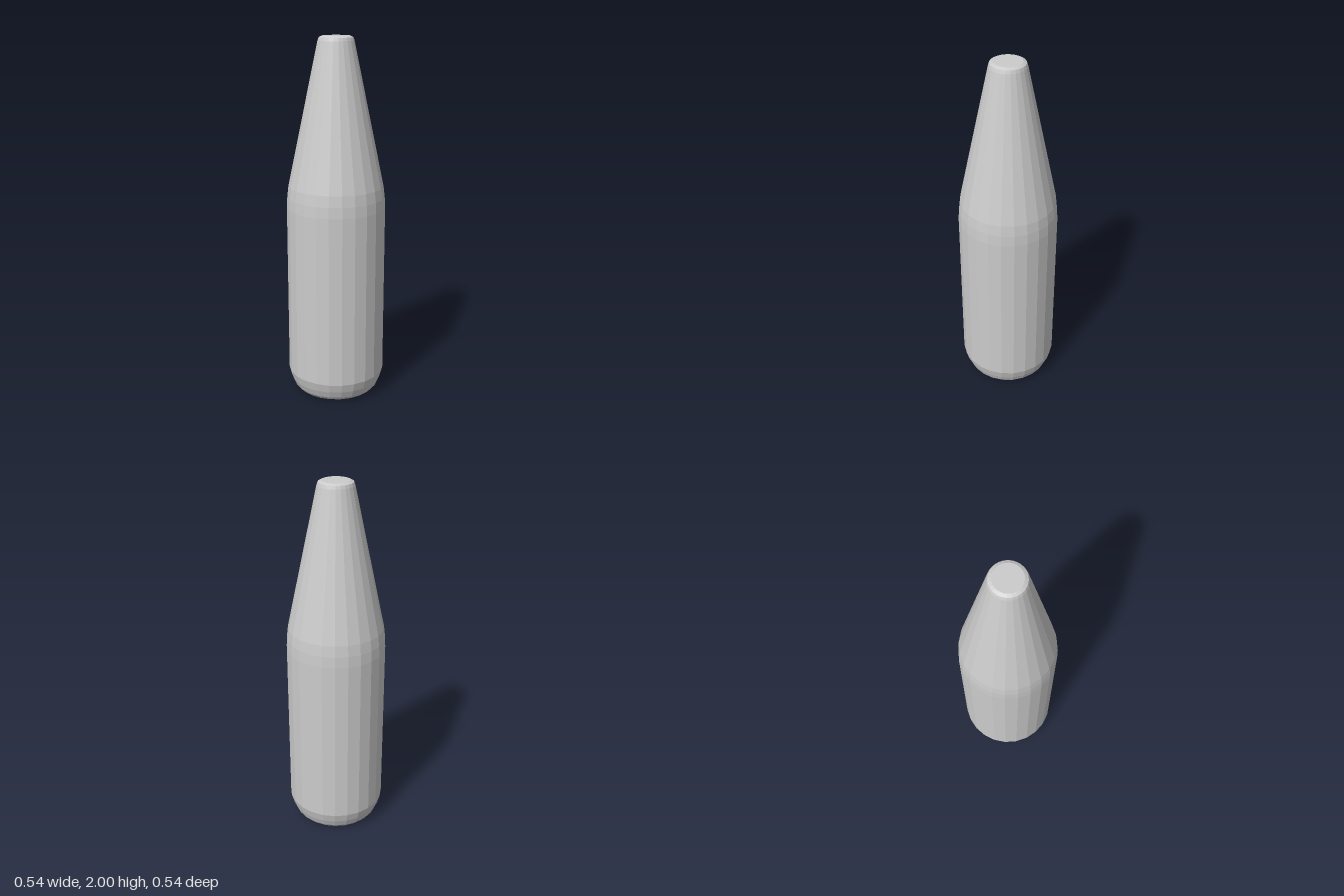
import * as THREE from 'three';

export function createModel() {
  const group = new THREE.Group();
  const material = new THREE.MeshStandardMaterial({ color: 0xcccccc, flatShading: true });

  // Closed profile [radius, height]: rounded base, straight wall, soft shoulder, tapered neck, bevelled tip
  const profile = [
    [0, 0], [0.2, 0], [0.223, 0.01], [0.241, 0.03], [0.258, 0.07], [0.272, 0.12],
    [0.272, 1.08], [0.269, 1.14], [0.262, 1.2],
    [0.098, 1.975], [0.092, 1.992], [0.075, 2], [0, 2],
  ].map(([r, y]) => new THREE.Vector2(r, y));

  const body = new THREE.Mesh(new THREE.LatheGeometry(profile, 24), material);
  body.name = 'bottleBody';
  group.add(body);
  return group;
}
